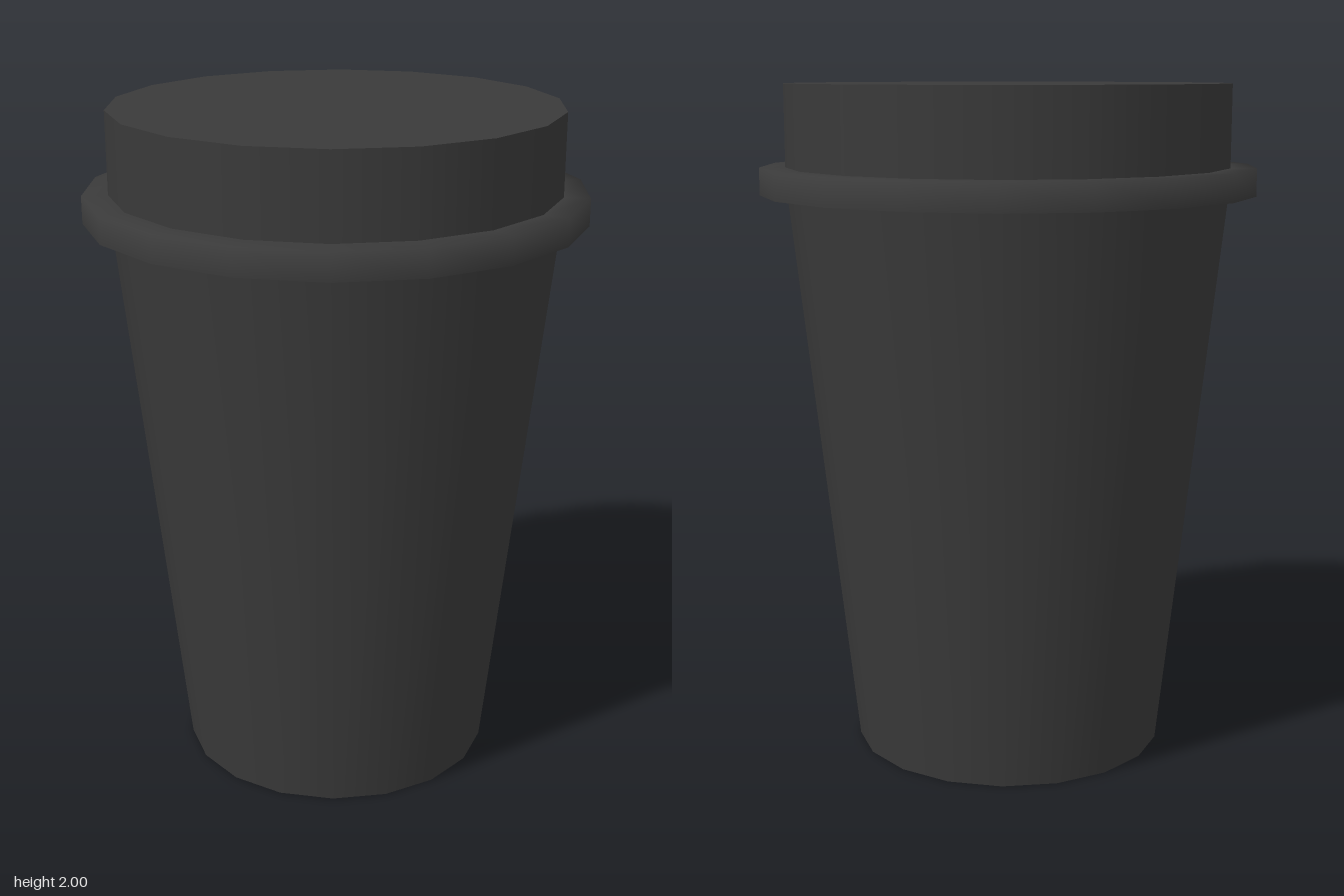
import * as THREE from 'three';

const SIDES = 18;
const PHASE = THREE.MathUtils.degToRad(15.6);

export function createModel() {
  const group = new THREE.Group();
  const material = new THREE.MeshStandardMaterial({ color: 0x3a3a3a });

  function add(name, geometry, parent = group) {
    const mesh = new THREE.Mesh(geometry, material);
    mesh.name = name;
    parent.add(mesh);
    return mesh;
  }

  // Closed tapered drum between two heights
  function drum(name, bottomRadius, topRadius, y0, y1) {
    const g = new THREE.CylinderGeometry(topRadius, bottomRadius, y1 - y0, SIDES, 1, false, PHASE);
    return add(name, g.translate(0, (y0 + y1) / 2, 0));
  }

  // Surface of revolution, smooth along its profile
  function turned(name, profile, parent) {
    const points = profile.map(([r, y]) => new THREE.Vector2(r, y));
    return add(name, new THREE.LatheGeometry(points, SIDES, PHASE), parent);
  }

  drum('cupBody', 0.467, 0.651, 0, 1.68);
  drum('lidTop', 0.655, 0.655, 1.76, 2);

  // Lid rim: softly shaded outer wall and top, sharp flat underside
  const rim = new THREE.Group();
  rim.name = 'lidRim';
  turned('rimOuter', [[0.731, 1.68], [0.731, 1.76], [0.655, 1.76]], rim);
  turned('rimUnderside', [[0.651, 1.68], [0.731, 1.68]], rim);
  group.add(rim);

  return group;
}
